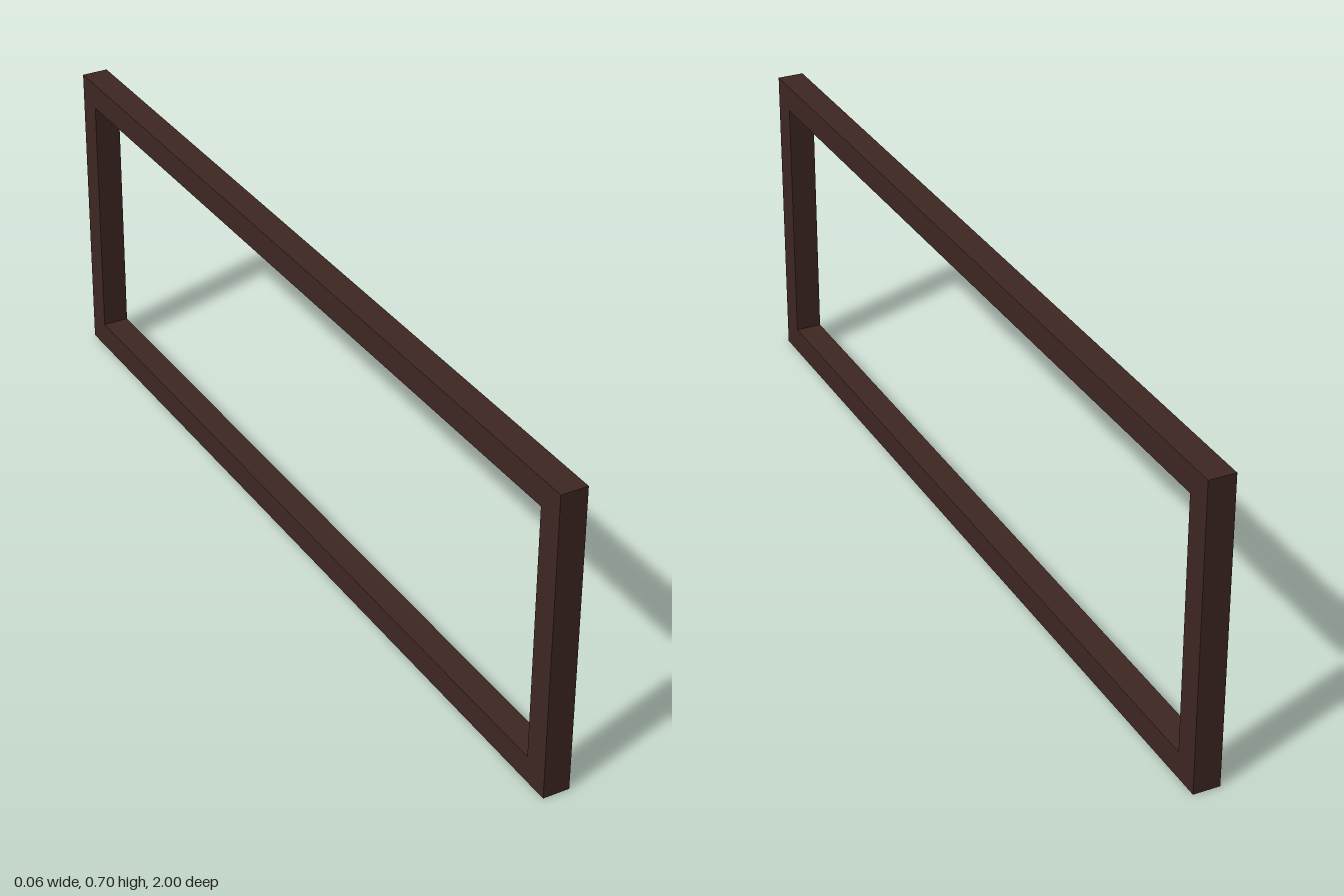
import * as THREE from 'three';

const LENGTH = 2, HEIGHT = 0.7, BAR = 0.06;

// Rectangle centred on the first axis, inset evenly from the outer edge
function rectangle(PathType, inset) {
  const half = LENGTH / 2 - inset;
  const path = new PathType();
  path.moveTo(-half, inset);
  path.lineTo(half, inset);
  path.lineTo(half, HEIGHT - inset);
  path.lineTo(-half, HEIGHT - inset);
  path.closePath();
  return path;
}

export function createModel() {
  const group = new THREE.Group();
  group.name = 'tableLeg';

  // Square-bar rectangular frame, extruded across its thickness
  const outline = rectangle(THREE.Shape, 0);
  outline.holes.push(rectangle(THREE.Path, BAR));
  const geometry = new THREE.ExtrudeGeometry(outline, { depth: BAR, bevelEnabled: false });
  geometry.translate(0, 0, -BAR / 2);
  geometry.rotateY(Math.PI / 2);

  const frame = new THREE.Mesh(geometry, new THREE.MeshStandardMaterial({ color: 0x3e2723 }));
  frame.name = 'legFrame';
  group.add(frame);
  return group;
}
